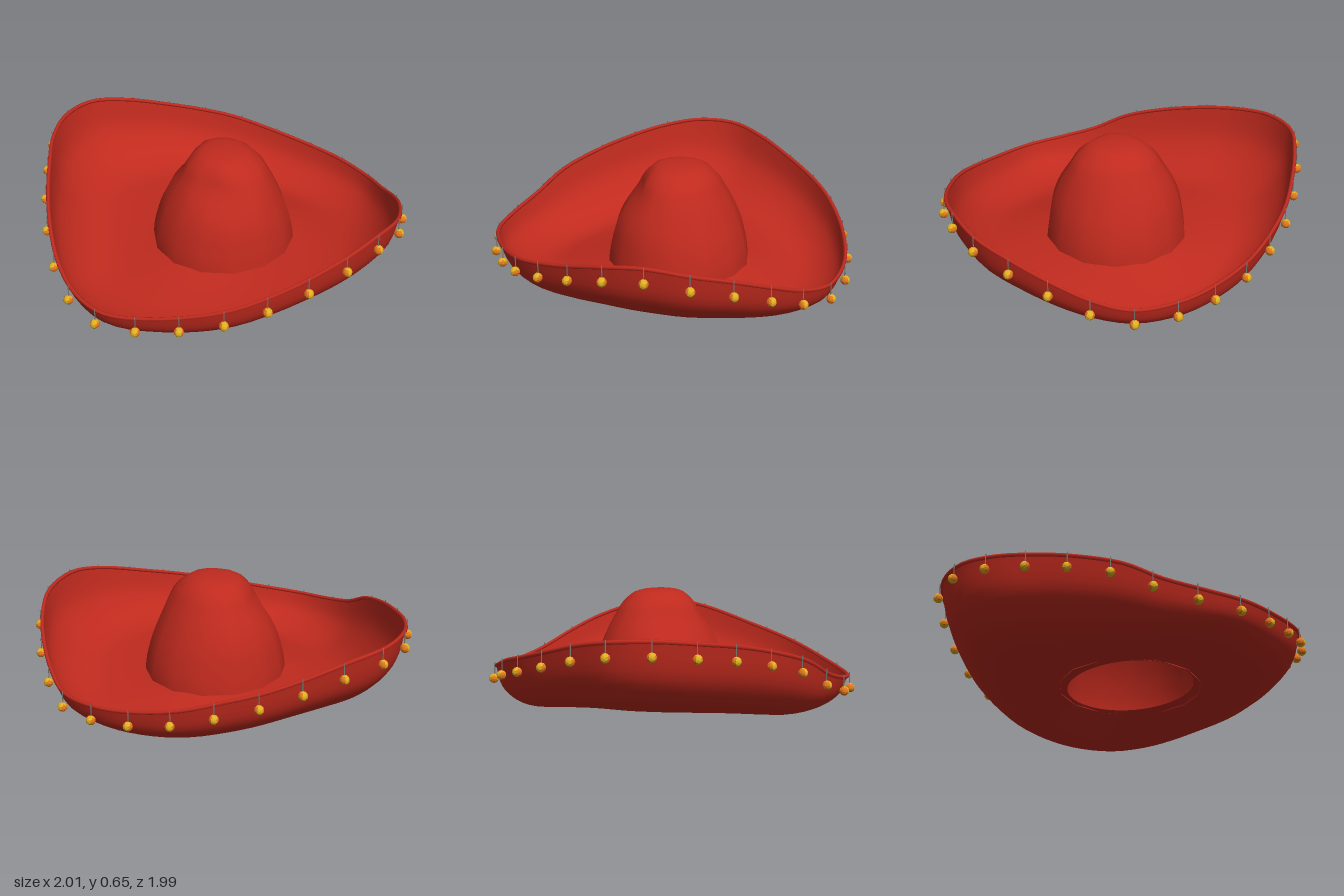
import * as THREE from 'three';

const V2 = (x, y) => new THREE.Vector2(x, y);
const V3 = (x, y, z) => new THREE.Vector3(x, y, z);

// Skin closed rings of points, listed from the first ring to the last
function loft(rings) {
  const n = rings[0].length;
  const pos = rings.flat().flatMap((p) => [p.x, p.y, p.z]);
  const index = [];
  for (let j = 0; j < rings.length - 1; j++) {
    for (let i = 0; i < n; i++) {
      const a = j * n + i, b = j * n + (i + 1) % n;
      index.push(a, a + n, b, b, a + n, b + n);
    }
  }
  const g = new THREE.BufferGeometry();
  g.setAttribute('position', new THREE.Float32BufferAttribute(pos, 3));
  g.setIndex(index);
  g.computeVertexNormals();
  return g;
}

// Wavy rim of the brim: x, z, height
const RIM = [
  [0.962, -0.065, 0.19], [0.953, 0.13, 0.23], [0.91, 0.35, 0.315], [0.84, 0.54, 0.39],
  [0.72, 0.73, 0.45], [0.53, 0.86, 0.478], [0.33, 0.93, 0.447], [0, 0.957, 0.36],
  [-0.31, 0.92, 0.285], [-0.64, 0.76, 0.215], [-0.85, 0.59, 0.187], [-0.935, 0.4, 0.2],
  [-0.96, 0.19, 0.25], [-0.945, 0, 0.34], [-0.89, -0.235, 0.41], [-0.82, -0.45, 0.457],
  [-0.74, -0.66, 0.488], [-0.61, -0.84, 0.51], [-0.42, -0.95, 0.505], [-0.2, -0.95, 0.47],
  [0, -0.92, 0.42], [0.22, -0.865, 0.365], [0.41, -0.78, 0.32], [0.6, -0.65, 0.26],
  [0.78, -0.46, 0.215], [0.89, -0.29, 0.195],
];
const CX = 0.02, CZ = 0.042, BASE_R = 0.385, BASE_Y = 0.105;

function brimGeometry(rim) {
  const steps = 20;
  const rings = Array.from({ length: steps + 1 }, () => []);
  for (const p of rim) {
    const a = Math.atan2(p.z - CZ, p.x - CX);
    const R = Math.hypot(p.z - CZ, p.x - CX);
    // Saddle-shaped floor, lowest at the two low sides of the rim
    const floor = 0.049 - 0.046 * Math.cos(2 * (a + 0.42));
    // The high sides curl up more gradually
    const high = THREE.MathUtils.smoothstep(p.y, 0.2, 0.45);
    const hole = 0.34 - 0.025 * Math.cos(2 * (a - Math.PI / 4));
    const h = p.y - floor, at = (f) => BASE_R + (R - BASE_R) * f;
    const section = new THREE.SplineCurve([
      V2(hole, BASE_Y), V2(at(0.3), BASE_Y * 0.35 + floor * 0.65),
      V2(at(0.56), floor + 0.05 * high * h),
      V2(at(0.78), floor + (0.13 + 0.11 * high) * h),
      V2(at(0.94), floor + (0.48 + 0.08 * high) * h), V2(R, p.y),
    ]);
    section.getPoints(steps).forEach((s, j) => {
      rings[j].push(V3(CX + Math.cos(a) * s.x, s.y, CZ + Math.sin(a) * s.x));
    });
  }
  return loft(rings);
}

function crownGeometry() {
  const sides = 14;
  const profile = new THREE.SplineCurve([
    V2(0.001, 0.652), V2(0.07, 0.648), V2(0.14, 0.63), V2(0.203, 0.575), V2(0.24, 0.515),
    V2(0.29, 0.42), V2(0.343, 0.3), V2(0.378, 0.18), V2(BASE_R + 0.004, BASE_Y - 0.01),
  ]).getPoints(24);
  const bump = (v, mid, width) => Math.exp(-(((v - mid) / width) ** 2));
  return loft(profile.map((p) => Array.from({ length: sides }, (_, i) => {
    const a = ((i + 0.5) / sides) * Math.PI * 2 - Math.PI / 2;
    // Pinched dents on one side, a fuller curve on the other
    const dent = bump(p.y, 0.52, 0.1)
      * (0.045 * bump(a, 2.3, 0.42) + 0.032 * bump(a, 3.9, 0.45) - 0.012 * bump(a, 0.8, 0.5));
    const r = p.x - dent;
    const deep = 1 + 0.08 * THREE.MathUtils.smoothstep(p.y, 0.15, 0.45);
    return V3(CX + Math.cos(a) * r, p.y, CZ + Math.sin(a) * r * deep);
  })));
}

// Faceted bead: material 0 on most faces, 1 on the two flanks
function beadGeometry() {
  const g = new THREE.IcosahedronGeometry(0.026, 1);
  const pos = g.attributes.position;
  for (let i = 0; i < pos.count; i += 3) {
    const side = (pos.getX(i) + pos.getX(i + 1) + pos.getX(i + 2)) / 3;
    g.addGroup(i, 3, side < -0.013 || side > 0.018 ? 1 : 0);
  }
  return g;
}

export function createModel() {
  const hat = new THREE.Group();
  hat.name = 'wideBrimHat';

  const material = (name, color, options = {}) => {
    const m = new THREE.MeshStandardMaterial({ color, ...options });
    m.name = name;
    return m;
  };
  const red = material('red felt', 0xc02a1e, { side: THREE.DoubleSide });
  const gold = material('gold bead', 0xe0b020, { flatShading: true });
  const orange = material('orange bead side', 0xe0761e, { flatShading: true });
  const grey = material('grey thread', 0x85807a);

  const add = (name, geometry, mat, parent = hat) => {
    const mesh = new THREE.Mesh(geometry, mat);
    mesh.name = name;
    parent.add(mesh);
    return mesh;
  };

  const rimCurve = new THREE.CatmullRomCurve3(RIM.map(([x, z, y]) => V3(x, y, z)), true);
  add('brim', brimGeometry(rimCurve.getSpacedPoints(84).slice(0, -1)), red);
  add('rimPiping', new THREE.TubeGeometry(rimCurve, 112, 0.011, 6, true), red);
  add('crown', crownGeometry(), red);

  // Beads hanging on threads around the rim
  const beads = new THREE.Group();
  beads.name = 'beadFringe';
  hat.add(beads);
  const beadShape = beadGeometry();
  const threadShape = new THREE.CylinderGeometry(0.003, 0.003, 0.07, 5);
  rimCurve.getSpacedPoints(28).slice(0, -1).forEach((p) => {
    const out = V3(p.x, 0, p.z).normalize();
    add('thread', threadShape, grey, beads).position.set(
      p.x + out.x * 0.013, p.y - 0.02, p.z + out.z * 0.013);
    const bead = add('bead', beadShape, [gold, orange], beads);
    bead.position.set(p.x + out.x * 0.017, p.y - 0.073, p.z + out.z * 0.017);
    bead.rotation.y = Math.atan2(out.x, out.z);
  });

  return hat;
}
